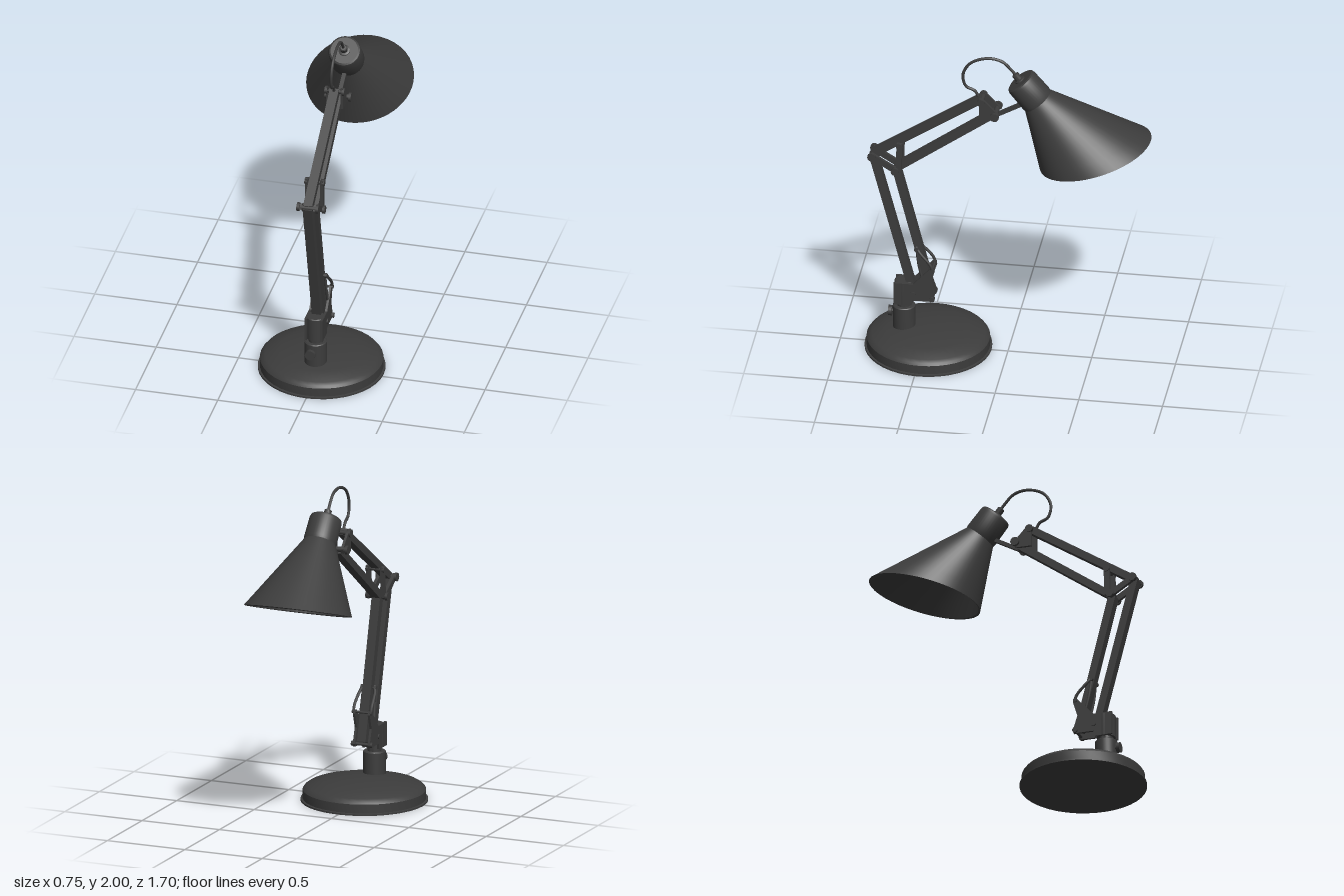
import * as THREE from 'three';
import { toCreasedNormals } from 'three/addons/utils/BufferGeometryUtils.js';

const black = new THREE.MeshStandardMaterial({ color: 0x3c3c3c });

// All side-profile points are written as [z, y].
export function createModel() {
  const lamp = new THREE.Group();

  function add(name, geometry, parent = lamp) {
    const mesh = new THREE.Mesh(geometry, black);
    mesh.name = name;
    parent.add(mesh);
    return mesh;
  }
  function lathe(points, segments = 40) {
    const profile = points.map(([r, y]) => new THREE.Vector2(r, y));
    return toCreasedNormals(new THREE.LatheGeometry(profile, segments), 0.5);
  }
  // Straight bar in the side plane
  function bar(name, a, b, width, depth, x = 0) {
    const dz = b[0] - a[0], dy = b[1] - a[1];
    const mesh = add(name, new THREE.BoxGeometry(width, Math.hypot(dz, dy), depth));
    mesh.position.set(x, (a[1] + b[1]) / 2, (a[0] + b[0]) / 2);
    mesh.rotation.x = Math.atan2(dz, dy);
    return mesh;
  }
  // Flat side plate, mirrored on both sides
  function plates(name, outline, x, thickness) {
    const shape = new THREE.Shape(outline.map(([z, y]) => new THREE.Vector2(z, y)));
    for (const side of [-1, 1]) {
      const geo = new THREE.ExtrudeGeometry(shape, { depth: thickness, bevelEnabled: false });
      geo.translate(0, 0, -thickness / 2).rotateY(-Math.PI / 2);
      add(name, geo).position.x = side * x;
    }
  }
  // Cross pin with a wider head on each end
  function pin(name, [z, y], half, radius) {
    const group = new THREE.Group();
    group.name = name;
    group.position.set(0, y, z);
    add('pinShaft', new THREE.CylinderGeometry(radius * 0.6, radius * 0.6, half * 2, 12).rotateZ(Math.PI / 2), group);
    for (const side of [-1, 1]) {
      const head = add('pinHead', new THREE.CylinderGeometry(radius, radius, 0.016, 12).rotateZ(Math.PI / 2), group);
      head.position.x = side * (half - 0.008);
    }
    lamp.add(group);
  }
  function wire(name, points, radius, segments) {
    const curve = new THREE.CatmullRomCurve3(points.map(p => new THREE.Vector3(...p)));
    return add(name, new THREE.TubeGeometry(curve, segments, radius, 8));
  }

  // Weighted base with a thin rim at the floor
  add('base', lathe([[0, 0], [0.377, 0], [0.377, 0.01], [0.365, 0.012], [0.365, 0.066], [0.355, 0.079],
    [0.335, 0.092], [0.25, 0.116], [0.13, 0.131], [0, 0.135]])).position.z = 0.475;

  // Swivel post
  const post = add('post', lathe([[0.067, 0.11], [0.067, 0.262], [0.062, 0.267], [0.042, 0.267],
    [0.042, 0.29], [0.056, 0.29], [0.056, 0.43], [0.05, 0.435], [0, 0.435]], 32));
  post.position.z = 0.62;

  // Clamping knob on the post
  const knob = new THREE.Group();
  knob.name = 'clampKnob';
  knob.position.set(-0.012, 0.21, 0.68);
  knob.add(new THREE.Mesh(new THREE.CylinderGeometry(0.012, 0.012, 0.05, 12).rotateX(Math.PI / 2), black));
  const grip = add('knobGrip', new THREE.CylinderGeometry(0.031, 0.031, 0.022, 20).rotateX(Math.PI / 2), knob);
  grip.position.z = 0.024;
  lamp.add(knob);

  // Arm bracket
  plates('bracketPlate', [[0.675, 0.435], [0.675, 0.29], [0.568, 0.29], [0.56, 0.325], [0.435, 0.328],
    [0.428, 0.345], [0.458, 0.44], [0.43, 0.53], [0.438, 0.553], [0.455, 0.55], [0.56, 0.435]], 0.048, 0.014);
  pin('bracketPin', [0.445, 0.345], 0.068, 0.016);
  pin('bracketPin', [0.56, 0.37], 0.062, 0.016);
  pin('springPin', [0.445, 0.54], 0.064, 0.012);

  // Parallel arms
  const elbow = [0.805, 1.285], lowerElbow = [0.665, 1.2];
  bar('lowerArmRear', [0.565, 0.37], elbow, 0.055, 0.046);
  bar('lowerArmFront', [0.452, 0.36], lowerElbow, 0.055, 0.046);
  bar('upperArmTop', elbow, [0.155, 1.715], 0.055, 0.044);
  bar('upperArmBottom', lowerElbow, [0.08, 1.622], 0.055, 0.044);

  // Elbow links and tension hooks on both sides
  for (const side of [-1, 1]) {
    const x = side * 0.045;
    bar('elbowLink', [0.815, 1.292], [0.655, 1.195], 0.02, 0.036, x);
    bar('elbowStrut', [0.645, 1.2], [0.64, 1.385], 0.02, 0.034, x);
    wire('tensionHook', [[side * 0.055, 0.535, 0.44], [side * 0.056, 0.575, 0.455],
      [side * 0.048, 0.65, 0.52], [side * 0.035, 0.682, 0.543]], 0.009, 16);
    wire('tensionRod', [[side * 0.036, 0.675, 0.54], [side * 0.042, 0.56, 0.525],
      [side * 0.045, 0.42, 0.49]], 0.008, 12);
  }
  pin('elbowPin', elbow, 0.066, 0.026);
  pin('elbowPin', lowerElbow, 0.07, 0.024);
  pin('strutPin', [0.64, 1.368], 0.06, 0.02);
  pin('hookPin', [0.54, 0.67], 0.05, 0.014);

  // Bracket carrying the lamp head
  plates('headBracket', [[0.165, 1.735], [0.13, 1.72], [0.05, 1.635], [0.06, 1.608], [0.085, 1.6],
    [0.165, 1.598]], 0.044, 0.016);
  pin('headPin', [0.153, 1.71], 0.06, 0.024);
  pin('headPin', [0.07, 1.63], 0.08, 0.027);
  bar('headStem', [0.075, 1.605], [-0.11, 1.71], 0.024, 0.022);

  // Lamp head: local -y runs along its axis towards the mouth
  const head = new THREE.Group();
  head.name = 'lampHead';
  head.position.set(0, 1.856, -0.072);
  head.rotation.set(0.68, 0.037, 0, 'YXZ');
  lamp.add(head);

  add('socketCap', lathe([[0.095, -0.175], [0.1, -0.15], [0.097, -0.02], [0.092, -0.006], [0.082, 0], [0, 0]]), head);
  add('cableGland', lathe([[0.034, -0.005], [0.034, 0.008], [0.022, 0.012], [0.022, 0.045], [0.016, 0.05], [0, 0.05]], 20), head);

  // Conical shade, its mouth cut at a slant
  const start = 0.164, wall = 0.012, steps = 6;
  const rows = [];
  for (let i = 0; i <= steps; i++) rows.push([1, -i / steps]);
  for (let i = steps; i >= 0; i--) rows.push([2, -i / steps]);
  const cone = new THREE.LatheGeometry(rows.map(p => new THREE.Vector2(...p)), 48);
  const pos = cone.attributes.position;
  for (let i = 0; i < pos.count; i++) {
    const x = pos.getX(i), z = pos.getZ(i), layer = Math.hypot(x, z);
    const c = -z / layer;
    const mouth = (0.617 + 0.0065 * c) / (1 - 0.185 * c);
    const s = start - pos.getY(i) * (mouth - start);
    const r = 0.0954 + 0.479 * (s - start) - (layer < 1.5 ? wall : 0);
    pos.setXYZ(i, x / layer * r, -s, z / layer * r);
  }
  add('shade', toCreasedNormals(cone, 0.6), head);

  // Bulb and its holder
  add('bulbHolder', new THREE.CylinderGeometry(0.045, 0.05, 0.14, 24), head).position.y = -0.2;
  add('bulb', new THREE.SphereGeometry(0.095, 28, 18), head).position.y = -0.34;

  // Cable looping from the arm to the head
  wire('cable', [[0, 1.69, 0.165], [0, 1.735, 0.182], [0, 1.762, 0.2], [0.004, 1.79, 0.25],
    [0.006, 1.87, 0.267], [0.006, 1.95, 0.222], [0.005, 1.99, 0.12], [0.004, 1.975, 0.035],
    [0.002, 1.92, -0.022], [0, 1.87, -0.06]], 0.009, 64);

  return lamp;
}
